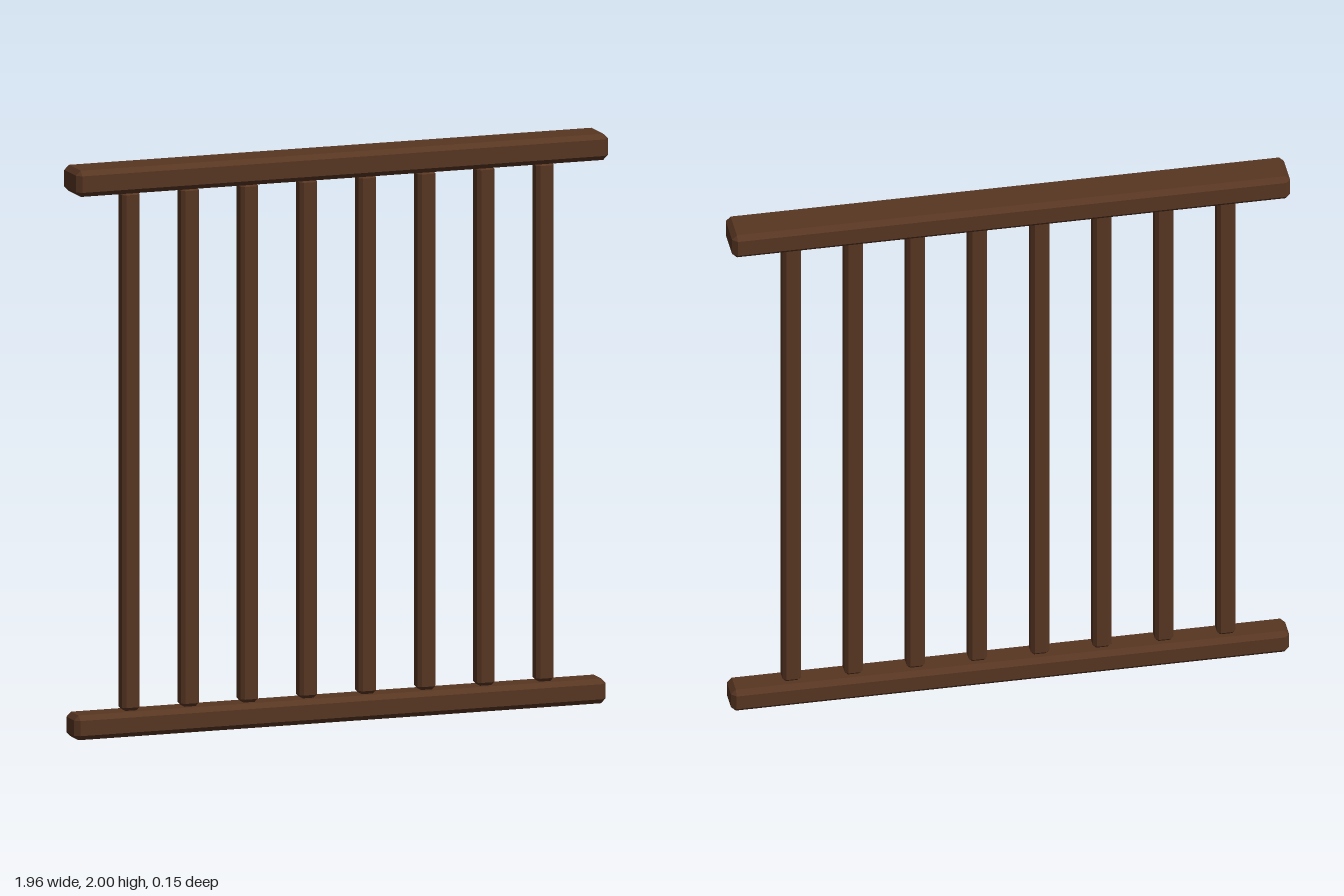
import * as THREE from 'three';
import { ConvexGeometry } from 'three/addons/geometries/ConvexGeometry.js';

// Box with flat chamfered edges and corners, centred on the origin
function chamferedBox(w, h, d, c) {
  const points = [];
  for (const sx of [-1, 1]) for (const sy of [-1, 1]) for (const sz of [-1, 1]) {
    const x = w / 2, y = h / 2, z = d / 2;
    points.push(
      new THREE.Vector3(sx * x, sy * (y - c), sz * (z - c)),
      new THREE.Vector3(sx * (x - c), sy * y, sz * (z - c)),
      new THREE.Vector3(sx * (x - c), sy * (y - c), sz * z)
    );
  }
  return new ConvexGeometry(points);
}

export function createModel() {
  const railing = new THREE.Group();
  railing.name = 'railing';
  const wood = new THREE.MeshStandardMaterial({ color: 0x583622 });
  wood.name = 'dark brown wood';

  const add = (name, geometry, x, y) => {
    const mesh = new THREE.Mesh(geometry, wood);
    mesh.name = name;
    mesh.position.set(x, y, 0);
    railing.add(mesh);
  };

  // Wide handrail above, narrower rail below
  add('topRail', chamferedBox(1.956, 0.092, 0.15, 0.017), 0, 1.954);
  add('bottomRail', chamferedBox(1.956, 0.087, 0.109, 0.017), 0, 0.0435);

  // Eight evenly spaced balusters between the rails
  const count = 8, spacing = 0.2175;
  const baluster = chamferedBox(0.065, 1.821, 0.06, 0.012);
  for (let i = 0; i < count; i++) {
    add('baluster' + (i + 1), baluster, (i - (count - 1) / 2) * spacing, 0.9975);
  }
  return railing;
}
